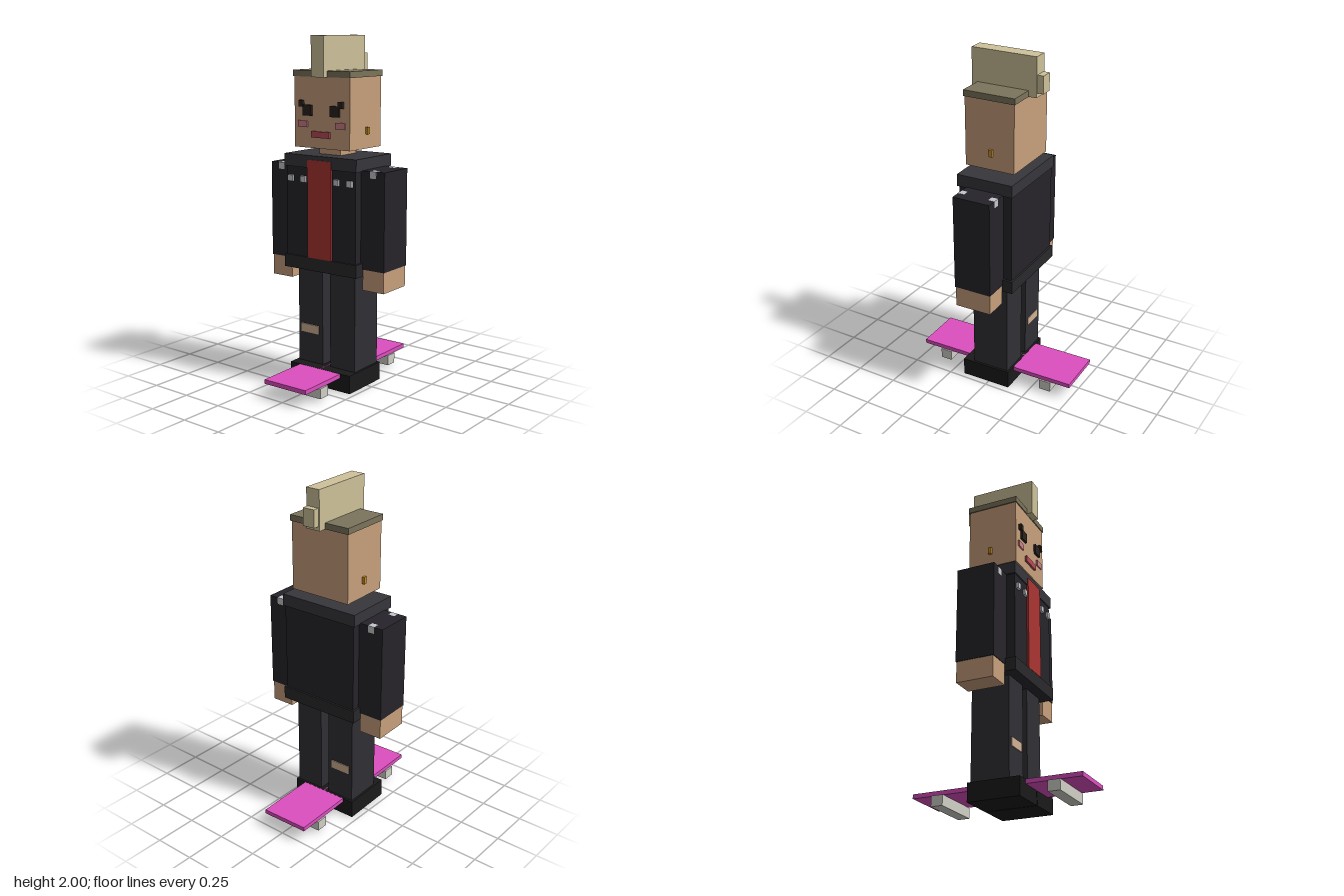
import * as THREE from 'three';

const COLORS = {
  skin: 0xc8a07c, jacket: 0x26242a, collar: 0x37363b, belt: 0x29292c,
  trousers: 0x302f34, shoe: 0x1a1a1a, shirt: 0xaa3430, hair: 0xcec29a,
  stubble: 0x7b745c, face: 0x2a211e, cheek: 0xd08088, lips: 0xb84c58,
  gold: 0xc8902c, silver: 0xc4c8cc, patch: 0xd2b094, deck: 0xdd4fc0, truck: 0xd0d0c8,
};

export function createModel() {
  const model = new THREE.Group();
  model.name = 'skater';
  const figure = new THREE.Group();
  figure.name = 'figure';
  figure.rotation.y = 0.03; // stands turned very slightly
  model.add(figure);

  const materials = {};
  for (const key in COLORS) materials[key] = new THREE.MeshStandardMaterial({ color: COLORS[key] });

  // Box from its minimum and maximum on each axis
  function box(name, color, [x0, x1], [y0, y1], [z0, z1]) {
    const mesh = new THREE.Mesh(new THREE.BoxGeometry(x1 - x0, y1 - y0, z1 - z0), materials[color]);
    mesh.position.set((x0 + x1) / 2, (y0 + y1) / 2, (z0 + z1) / 2);
    mesh.name = name;
    figure.add(mesh);
  }
  // The same box on both sides of the body
  function pair(name, color, [x0, x1], y, z) {
    box(name + 'Left', color, [x0, x1], y, z);
    box(name + 'Right', color, [-x1, -x0], y, z);
  }

  // Skateboard
  box('deck', 'deck', [-0.145, 0.145], [0.08, 0.105], [-0.495, 0.495]);
  box('frontTruck', 'truck', [-0.155, 0.155], [0.02, 0.08], [0.305, 0.375]);
  box('backTruck', 'truck', [-0.155, 0.155], [0.02, 0.08], [-0.375, -0.305]);

  // Shoes, legs and the torn knee, which shows front and back
  pair('shoe', 'shoe', [0.003, 0.213], [0, 0.106], [-0.127, 0.177]);
  pair('leg', 'trousers', [0.027, 0.2], [0.1, 0.7], [-0.114, 0.111]);
  box('kneePatch', 'patch', [-0.178, -0.054], [0.285, 0.335], [-0.119, 0.117]);

  // Jacket, shirt and collar
  box('jacketHem', 'belt', [-0.253, 0.253], [0.68, 0.755], [-0.173, 0.175]);
  box('torso', 'jacket', [-0.24, 0.24], [0.74, 1.29], [-0.162, 0.165]);
  box('collar', 'collar', [-0.25, 0.25], [1.27, 1.34], [-0.17, 0.173]);
  box('shirt', 'shirt', [-0.083, 0.08], [0.755, 1.315], [0.15, 0.177]);

  // Arms and hands
  pair('sleeve', 'jacket', [0.235, 0.395], [0.72, 1.275], [-0.113, 0.113]);
  pair('hand', 'skin', [0.252, 0.391], [0.6, 0.73], [-0.109, 0.109]);

  // Studs on the chest and nearly flush on the shoulders
  for (const x of [0.115, 0.205])
    pair('chestStud', 'silver', [x - 0.017, x + 0.017], [1.185, 1.22], [0.155, 0.18]);
  for (const z of [-0.094, 0.094])
    pair('shoulderStud', 'silver', [0.3, 0.34], [1.236, 1.2755], [z - 0.0195, z + 0.0195]);

  // Neck, head and hair
  box('neck', 'skin', [-0.075, 0.075], [1.33, 1.39], [-0.075, 0.075]);
  box('head', 'skin', [-0.19, 0.19], [1.38, 1.78], [-0.15, 0.15]);
  box('shavedHair', 'stubble', [-0.196, 0.196], [1.775, 1.81], [-0.156, 0.156]);
  box('mohawk', 'hair', [-0.043, 0.043], [1.775, 2], [-0.203, 0.19]);
  box('mohawkTuft', 'hair', [-0.036, 0.036], [1.8, 1.9], [-0.24, -0.2]);

  // Face
  pair('eye', 'face', [0.063, 0.125], [1.56, 1.62], [0.145, 0.163]);
  pair('brow', 'face', [0.122, 0.15], [1.608, 1.645], [0.145, 0.168]);
  pair('cheek', 'cheek', [0.097, 0.16], [1.495, 1.53], [0.145, 0.158]);
  box('mouth', 'lips', [-0.065, 0.06], [1.44, 1.475], [0.145, 0.163]);
  pair('earring', 'gold', [0.185, 0.206], [1.46, 1.5], [-0.022, -0.001]);

  return model;
}
